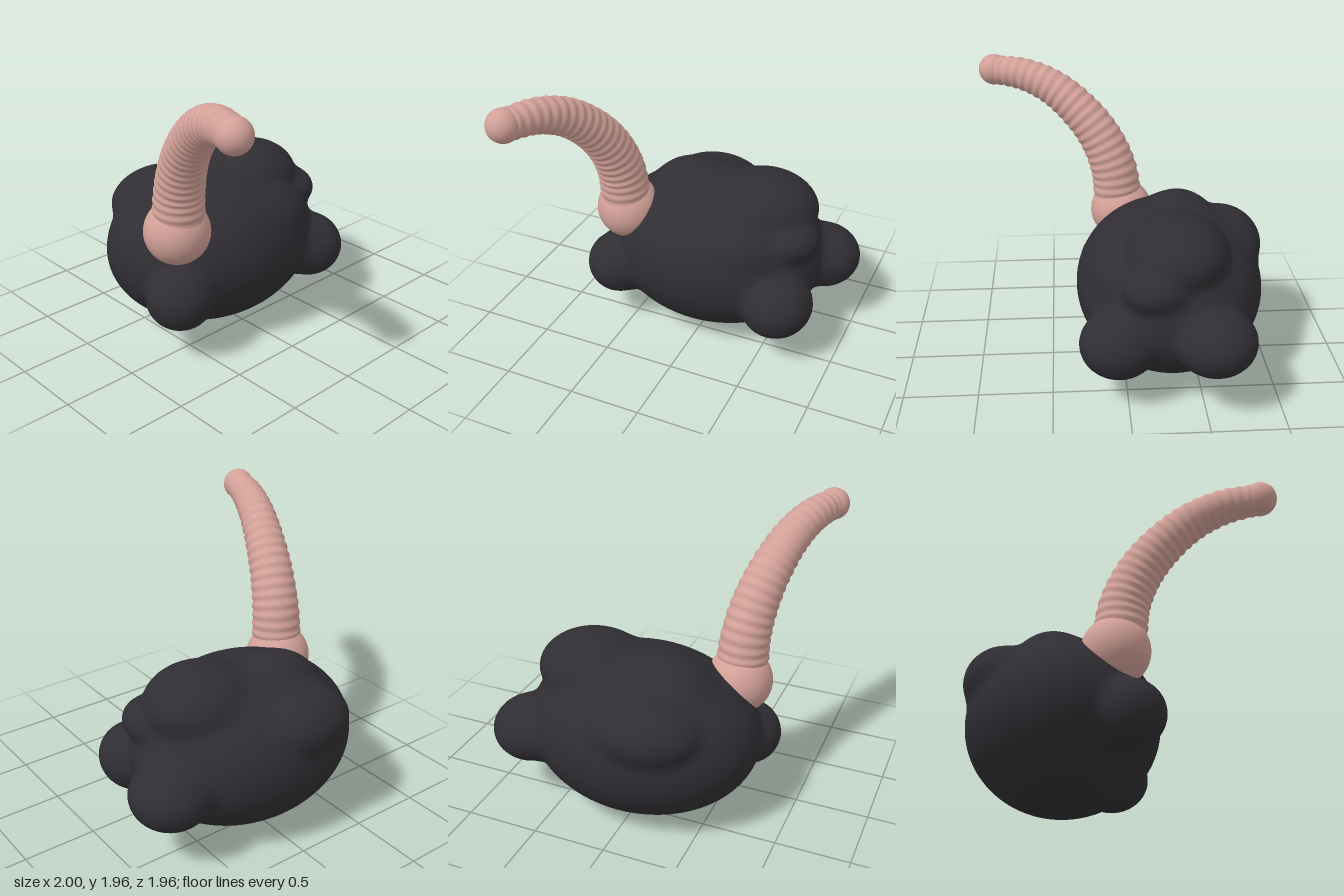
import * as THREE from 'three';
import { mergeVertices } from 'three/addons/utils/BufferGeometryUtils.js';

const V = (x, y, z) => new THREE.Vector3(x, y, z);
const dark = new THREE.MeshStandardMaterial({ color: 0x302e33 });
const pink = new THREE.MeshStandardMaterial({ color: 0xd2a198 });

// Lumps of the body: centre and radii
const lumps = [
  [V(0, 0.56, -0.32), V(0.8, 0.56, 0.64)],         // main mass
  [V(-0.61, 0.44, 0.05), V(0.23, 0.22, 0.23)],     // right front
  [V(0.6, 0.43, 0.06), V(0.25, 0.23, 0.26)],       // left front
  [V(0.73, 0.5, -0.55), V(0.27, 0.22, 0.27)],      // left back
  [V(0.35, 0.94, -0.33), V(0.38, 0.25, 0.34)],     // top left
  [V(0.6, 0.82, -0.18), V(0.2, 0.15, 0.22)],       // upper left side
  [V(-0.2, 0.9, -0.4), V(0.32, 0.24, 0.27)],       // top right
  [V(-0.16, 0.79, -0.7), V(0.38, 0.23, 0.28)],     // upper back
  [V(0.2, 0.77, 0.0), V(0.36, 0.2, 0.23)],         // upper front
];

// Approximate distance to an ellipsoid
function lumpDistance(p, [c, r]) {
  const q = p.clone().sub(c).divide(r);
  const k0 = q.length();
  return k0 * (k0 - 1) / Math.max(q.divide(r).length(), 1e-6);
}

// Smooth union of all lumps
function bodyDistance(p) {
  const k = 0.05;
  return lumps.reduce((d, lump) => {
    const e = lumpDistance(p, lump);
    const h = Math.max(k - Math.abs(d - e), 0) / k;
    return Math.min(d, e) - h * h * k * 0.25;
  }, 10);
}

// Weld seams so that normals stay smooth
function smooth(geometry) {
  geometry.deleteAttribute('uv');
  geometry.deleteAttribute('normal');
  const welded = mergeVertices(geometry, 1e-5);
  welded.computeVertexNormals();
  return welded;
}

// Shrink a sphere along its rays onto the blended lumps
function bodyGeometry() {
  const geometry = new THREE.SphereGeometry(1, 160, 110);
  const pos = geometry.attributes.position;
  const centre = V(0, 0.56, -0.32), dir = V(), p = V();
  for (let i = 0; i < pos.count; i++) {
    dir.fromBufferAttribute(pos, i).normalize();
    let t = 1.4;
    for (let s = 0; s < 45; s++) {
      const d = bodyDistance(p.copy(centre).addScaledVector(dir, t));
      if (d < 0.0005) break;
      t -= d * 0.85;
    }
    p.copy(centre).addScaledVector(dir, t);
    pos.setXYZ(i, p.x, p.y, p.z);
  }
  return smooth(geometry);
}

// Curved tapering tube with shallow rings
function trunkGeometry(curve) {
  const rings = 160, sides = 32;
  const geometry = new THREE.TubeGeometry(curve, rings, 1, sides, false);
  const pos = geometry.attributes.position, p = V();
  for (let i = 0; i <= rings; i++) {
    const t = i / rings, c = curve.getPointAt(t);
    const radius = THREE.MathUtils.lerp(0.172, 0.098, t ** 1.1)
      + 0.004 * Math.cos(t * 22 * Math.PI * 2);
    for (let j = 0; j <= sides; j++) {
      const n = i * (sides + 1) + j;
      p.fromBufferAttribute(pos, n).sub(c).multiplyScalar(radius).add(c);
      pos.setXYZ(n, p.x, p.y, p.z);
    }
  }
  return smooth(geometry);
}

export function createModel() {
  const model = new THREE.Group();
  function add(name, geometry, material, at) {
    const mesh = new THREE.Mesh(geometry, material);
    mesh.name = name;
    if (at) mesh.position.copy(at);
    model.add(mesh);
  }

  add('lumpyBody', bodyGeometry(), dark);

  // The trunk leans forward and to the right as it rises
  const path = [[0, 0.99], [0.03, 1.2], [0.11, 1.4], [0.24, 1.58], [0.44, 1.75], [0.65, 1.835], [0.88, 1.855]];
  const curve = new THREE.CatmullRomCurve3(path.map(([z, y]) => V(-0.565 - 0.37 * z, y, z)));
  add('trunkBase', new THREE.SphereGeometry(0.222, 48, 32), pink, V(-0.56, 0.88, -0.025));
  add('trunk', trunkGeometry(curve), pink);
  add('trunkTip', new THREE.SphereGeometry(0.109, 40, 28), pink, V(-0.89, 1.855, 0.875));
  return model;
}
